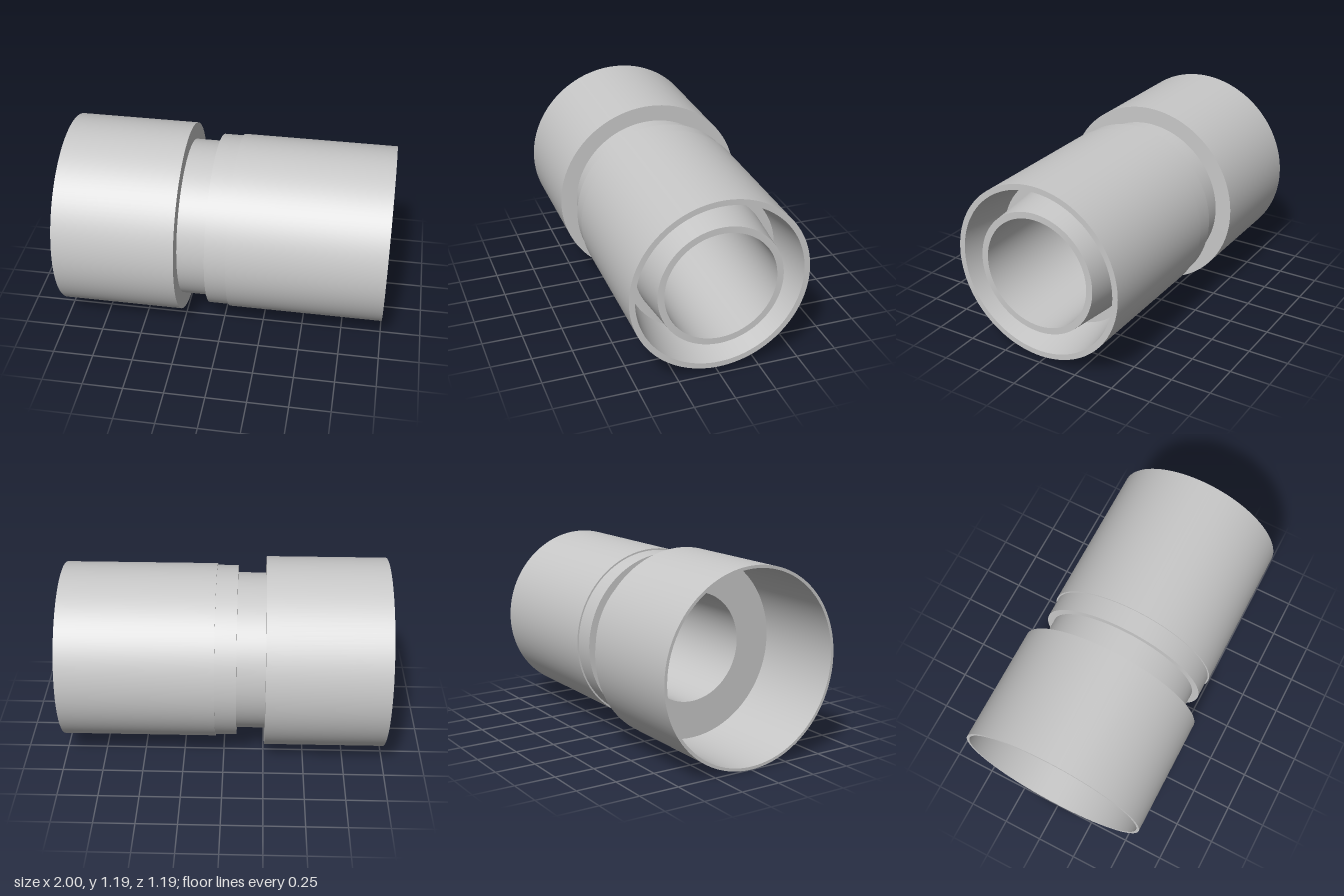
import * as THREE from 'three';
import { mergeGeometries } from 'three/addons/utils/BufferGeometryUtils.js';

const SIDES = 128;
const AXIS_HEIGHT = 0.593;

// Revolve a profile of [x, radius] points about the x axis, with a sharp edge at every point.
function revolve(profile) {
  const bands = [];
  for (let i = 0; i + 1 < profile.length; i++) {
    const pair = [profile[i], profile[i + 1]].map(([x, r]) => new THREE.Vector2(r, x));
    bands.push(new THREE.LatheGeometry(pair, SIDES));
  }
  return mergeGeometries(bands).rotateZ(-Math.PI / 2);
}

export function createModel() {
  const group = new THREE.Group();
  group.name = 'pipeCoupling';
  const grey = new THREE.MeshStandardMaterial({ color: 0xc8c8c8 });
  grey.name = 'light grey';

  // Profiles run so that the solid lies on their inner side: outside +x, inside -x.
  const parts = {
    // wide open socket with its floor, rim and rear shoulder
    socket: [[-0.39, 0.34], [-0.39, 0.575], [-1, 0.575], [-1, 0.593], [-0.255, 0.593], [-0.255, 0.49]],
    // narrow groove between the two ends
    neck: [[-0.255, 0.49], [-0.08, 0.49]],
    // low step beside the sleeve
    collar: [[-0.08, 0.49], [-0.08, 0.535], [0.05, 0.535]],
    // outer sleeve, tapering inside down to the cavity floor
    sleeve: [[0.05, 0.535], [0.05, 0.545], [1, 0.545], [1, 0.51], [0.68, 0.463], [0.68, 0.41]],
    // inner tube, tapering to its tip
    innerTube: [[0.68, 0.41], [1, 0.38], [1, 0.34]],
    // straight through hole
    bore: [[1, 0.34], [-0.39, 0.34]],
  };

  for (const [name, profile] of Object.entries(parts)) {
    const mesh = new THREE.Mesh(revolve(profile), grey);
    mesh.name = name;
    mesh.position.y = AXIS_HEIGHT;
    group.add(mesh);
  }
  return group;
}
